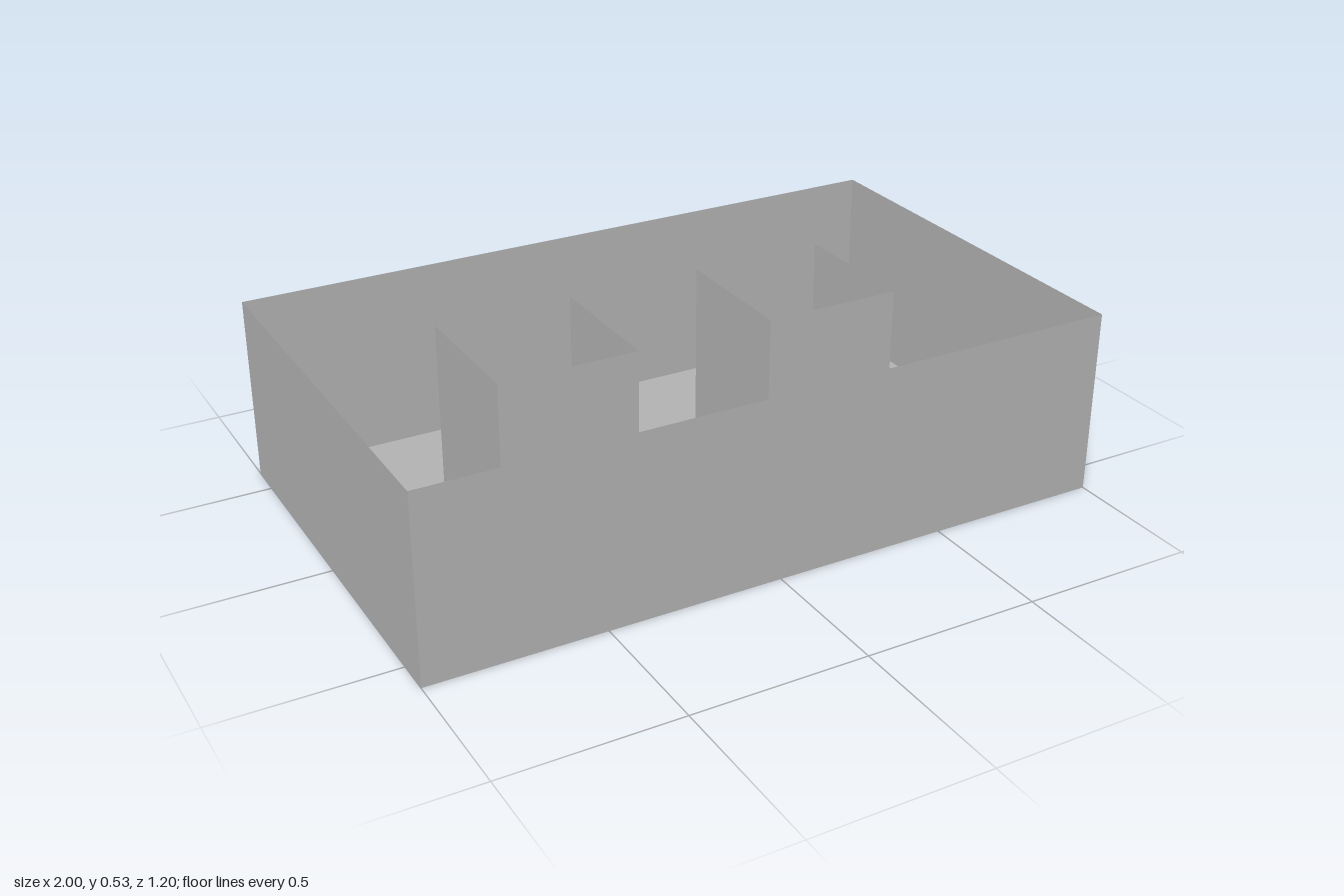
import * as THREE from 'three';
import { mergeGeometries } from 'three/addons/utils/BufferGeometryUtils.js';

const WIDTH = 2, DEPTH = 1.2, HEIGHT = 0.533;

// Four upright sheets around a rectangle, open at top and bottom
function wallRing(width, depth, height) {
  const panels = [];
  for (let i = 0; i < 4; i++) {
    const span = i % 2 ? depth : width;
    const offset = (i % 2 ? width : depth) / 2;
    panels.push(new THREE.PlaneGeometry(span, height)
      .translate(0, height / 2, offset)
      .rotateY(i * Math.PI / 2));
  }
  return mergeGeometries(panels);
}

export function createModel() {
  const model = new THREE.Group();
  model.name = 'openTray';
  const grey = new THREE.MeshStandardMaterial({ color: 0xb2b2b2, side: THREE.DoubleSide });
  grey.name = 'grey';

  const add = (name, geometry, x = 0) => {
    const mesh = new THREE.Mesh(geometry, grey);
    mesh.name = name;
    mesh.position.x = x;
    model.add(mesh);
  };

  // Tray
  add('outerWalls', wallRing(WIDTH, DEPTH, HEIGHT));
  add('floor', new THREE.PlaneGeometry(WIDTH, DEPTH).rotateX(-Math.PI / 2));

  // Hollow square posts standing on the floor
  const post = wallRing(0.4, 0.4, HEIGHT);
  add('leftPost', post, 0.4);
  add('rightPost', post, -0.4);

  return model;
}
